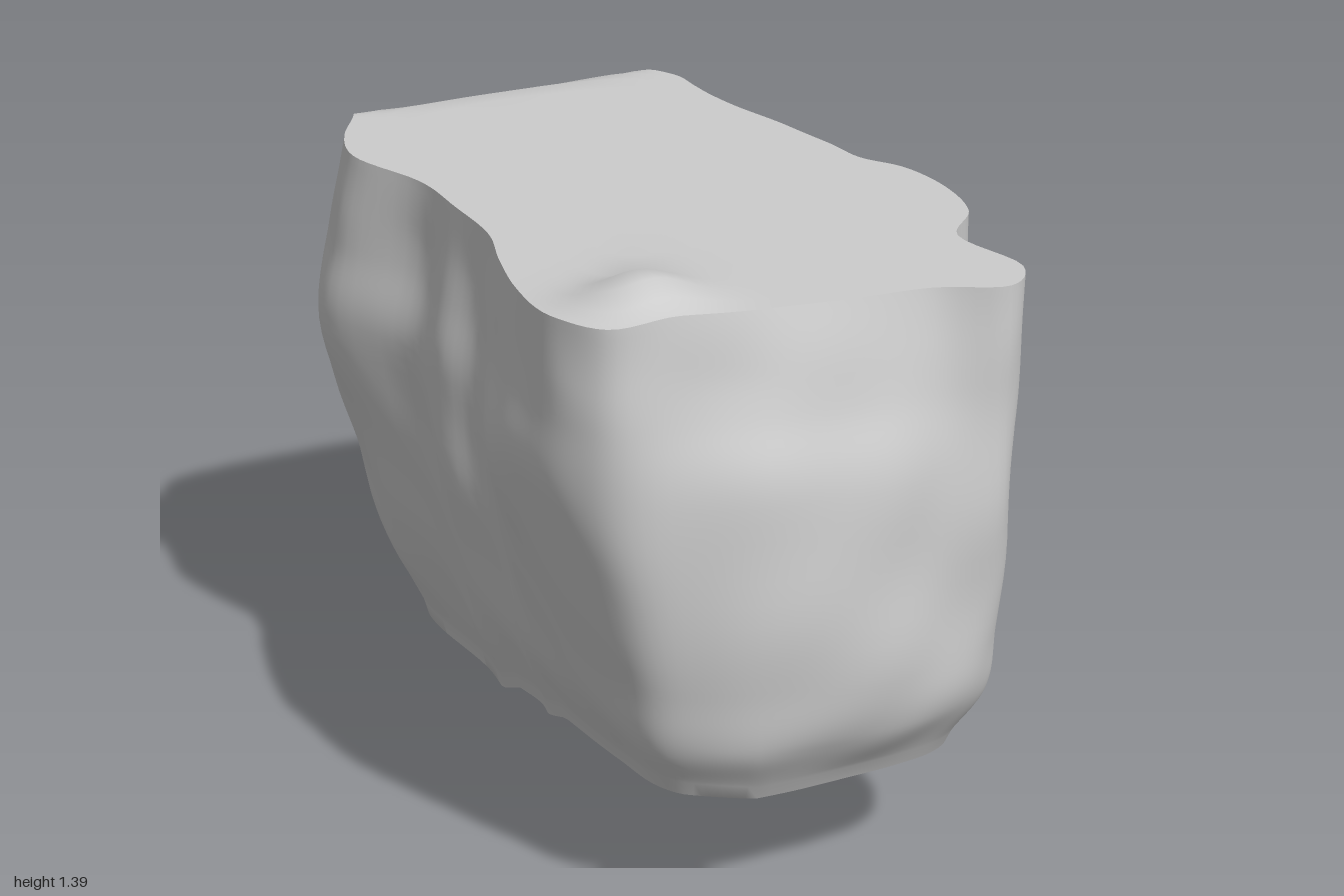
import * as THREE from 'three';
import { mergeVertices, toCreasedNormals } from 'three/addons/utils/BufferGeometryUtils.js';

// Matching x,z outlines, running from the front round the +x flank, back and -x flank
const TOP = [0, .87, .16, .89, .3, .95, .38, .87, .36, .66, .46, .55, .5, .4, .49, .25, .44, .15, .43, .04,
  .41, -.12, .38, -.28, .37, -.4, .37, -.47, .37, -.56, .31, -.66, .15, -.71, 0, -.72, -.2, -.72, -.36, -.69,
  -.42, -.6, -.48, -.5, -.52, -.36, -.46, -.14, -.46, .05, -.47, .22, -.51, .36, -.55, .52, -.56, .7,
  -.5, .81, -.35, .82, -.18, .84];
const LEDGE = [0, .97, .15, .96, .3, .96, .37, .87, .36, .68, .45, .55, .49, .4, .48, .25, .42, .15, .45, .08,
  .54, -.08, .53, -.3, .41, -.4, .49, -.47, .49, -.64, .42, -.81, .3, -.87, .1, -.87, -.13, -.86, -.34, -.81,
  -.42, -.67, -.54, -.53, -.58, -.38, -.5, -.14, -.51, .05, -.49, .2, -.55, .36, -.58, .5, -.56, .68,
  -.51, .81, -.37, .88, -.18, .95];
const MID = [0, .99, .15, .98, .28, .95, .35, .88, .38, .7, .44, .55, .47, .4, .46, .27, .4, .15, .5, .07,
  .58, -.1, .57, -.3, .41, -.39, .5, -.48, .5, -.64, .42, -.83, .32, -.91, .1, -.94, -.13, -.9, -.32, -.8,
  -.4, -.64, -.47, -.5, -.49, -.35, -.45, -.14, -.47, .05, -.45, .2, -.48, .36, -.48, .5, -.47, .68,
  -.43, .82, -.34, .9, -.18, .97];
const LOW = [0, .9, .12, .9, .22, .88, .3, .81, .33, .64, .37, .52, .4, .4, .39, .25, .36, .13, .44, .05,
  .5, -.12, .48, -.3, .39, -.4, .43, -.46, .41, -.6, .3, -.68, .15, -.72, .02, -.72, -.1, -.7, -.2, -.64,
  -.28, -.57, -.35, -.45, -.37, -.33, -.34, -.14, -.37, .05, -.36, .2, -.4, .34, -.4, .5, -.39, .64,
  -.37, .78, -.29, .85, -.15, .89];

// Underside height: stepped along z, rising towards the -x flank
const KEEL = [[-.95, .37], [-.8, .24], [-.72, .08], [-.62, .01], [-.4, .01], [-.2, .05], [.1, .19], [.25, .2], [.4, .26], [.8, .28], [1, .34]];
function baseY(x, z) {
  let y = z < 0 ? KEEL[0][1] : KEEL[KEEL.length - 1][1];
  for (let i = 0; i < KEEL.length - 1; i++) {
    const [z0, y0] = KEEL[i], [z1, y1] = KEEL[i + 1];
    if (z >= z0 && z <= z1) y = y0 + (y1 - y0) * (z - z0) / (z1 - z0);
  }
  return Math.max(y + .25 * Math.max(0, -.2 - x), .66 * (-.08 - x));
}

// Flat top with one low hump near the front and a rounded back edge
const { smoothstep } = THREE.MathUtils;
const topY = (x, z) => 1.34 + .062 * Math.exp(-(((x + .37) / .12) ** 2) - ((z - .7) / .09) ** 2)
  - .05 * smoothstep(-z, .62, .75);

// Smooth weathering, stretched vertically
const rough = (x, y, z) => .5 * Math.sin(13 * x + 5 * y + 2 * Math.sin(9 * z)) * Math.sin(12 * z - 4 * y + 1)
  + .35 * Math.sin(22 * z + 9 * y) * Math.sin(21 * x - 11 * y + 2) + .25 * Math.sin(17 * y + 8 * x - 9 * z);

function outline(flat) {
  const pts = [];
  for (let i = 0; i < flat.length; i += 2) pts.push(new THREE.Vector3(flat[i], 0, flat[i + 1]));
  return new THREE.CatmullRomCurve3(pts, true, 'centripetal');
}

function bodyGeometry() {
  const N = 192, ROWS = 52, CZ = .05;
  const [top, ledge, mid, low] = [TOP, LEDGE, MID, LOW].map(outline);
  const capScales = [0, .2, .4, .55, .7, .8, .88, .94, .98];
  const rings = [];
  const ring = () => { const r = []; rings.push(r); return r; };

  // Vertical ribs through the outlines; only the +x back part has a stepped shoulder
  const ribs = [];
  for (let i = 0; i < N; i++) {
    const [a, b, c, d] = [top, ledge, mid, low].map(o => o.getPoint(i / N));
    const u = i / N * TOP.length / 2;
    const step = smoothstep(u, 8, 10) * (1 - smoothstep(u, 16, 18));
    const shoulder = a.clone().lerp(b, .55 - .47 * step).setY(1.14 - .03 * step);
    a.y = topY(a.x, a.z);
    b.y = .98 + .07 * step;
    c.y = .58;
    d.y = baseY(d.x, d.z) + .03;
    const foot = c.clone().lerp(d, .22 + .16 * smoothstep(u, 19, 21) * (1 - smoothstep(u, 28, 30)));
    foot.y = c.y + (d.y - c.y) * .54;
    ribs.push(new THREE.CatmullRomCurve3([a, shoulder, b, c, foot, d], false, 'centripetal'));
  }
  // Top cap
  for (const s of capScales) {
    const r = ring();
    for (const rib of ribs) {
      const p = rib.points[0], x = p.x * s, z = CZ + (p.z - CZ) * s;
      r.push([x, topY(x, z), z]);
    }
  }
  // Weathered walls
  for (let k = 0; k <= ROWS; k++) {
    const r = ring(), t = k / ROWS;
    for (const rib of ribs) {
      const p = rib.getPoint(t);
      const n = .01 * rough(p.x, p.y, p.z) * Math.min(1, .25 + 6 * t, 6 * (1 - t));
      const l = Math.hypot(p.x, p.z);
      r.push([p.x * (1 + n / l), p.y, p.z * (1 + n / l)]);
    }
  }
  // Underside
  for (const s of [...capScales].reverse()) {
    const r = ring();
    for (const rib of ribs) {
      const p = rib.points[5], x = p.x * s, z = CZ + (p.z - CZ) * s;
      r.push([x, baseY(x, z), z]);
    }
  }

  const index = [];
  for (let k = 0; k < rings.length - 1; k++) for (let i = 0; i < N; i++) {
    const j = (i + 1) % N, a = k * N + i, b = k * N + j, c = a + N, d = b + N;
    if (k > 0) index.push(a, d, b);
    if (k < rings.length - 2) index.push(a, c, d);
  }
  const g = new THREE.BufferGeometry();
  g.setAttribute('position', new THREE.Float32BufferAttribute(rings.flat(2), 3));
  g.setIndex(index);
  return toCreasedNormals(g, .8);
}

// Rounded boulder-like lump with an uneven surface
function lumpGeometry() {
  let g = new THREE.IcosahedronGeometry(1, 8);
  g.deleteAttribute('uv');
  g.deleteAttribute('normal');
  g = mergeVertices(g);
  const p = g.attributes.position, v = new THREE.Vector3();
  for (let i = 0; i < p.count; i++) {
    v.fromBufferAttribute(p, i);
    v.multiplyScalar(1 + .1 * rough(v.x * .3, v.y * .3, v.z * .3));
    p.setXYZ(i, v.x, v.y, v.z);
  }
  g.computeVertexNormals();
  return g;
}

export function createModel() {
  const group = new THREE.Group();
  group.name = 'rock';
  const material = new THREE.MeshStandardMaterial({ color: 0xcccccc, roughness: 1 });

  const body = new THREE.Mesh(bodyGeometry(), material);
  body.name = 'rockBody';
  group.add(body);

  // Knobs bulging out of the back
  const lump = lumpGeometry();
  const lumps = [
    ['backKnob', [.1, .78, -.84], [.16, .22, .155]],
    ['backLedge', [-.08, 1.07, -.7], [.24, .15, .16]],
  ];
  for (const [name, at, size] of lumps) {
    const m = new THREE.Mesh(lump, material);
    m.name = name;
    m.position.set(...at);
    m.scale.set(...size);
    group.add(m);
  }
  return group;
}
